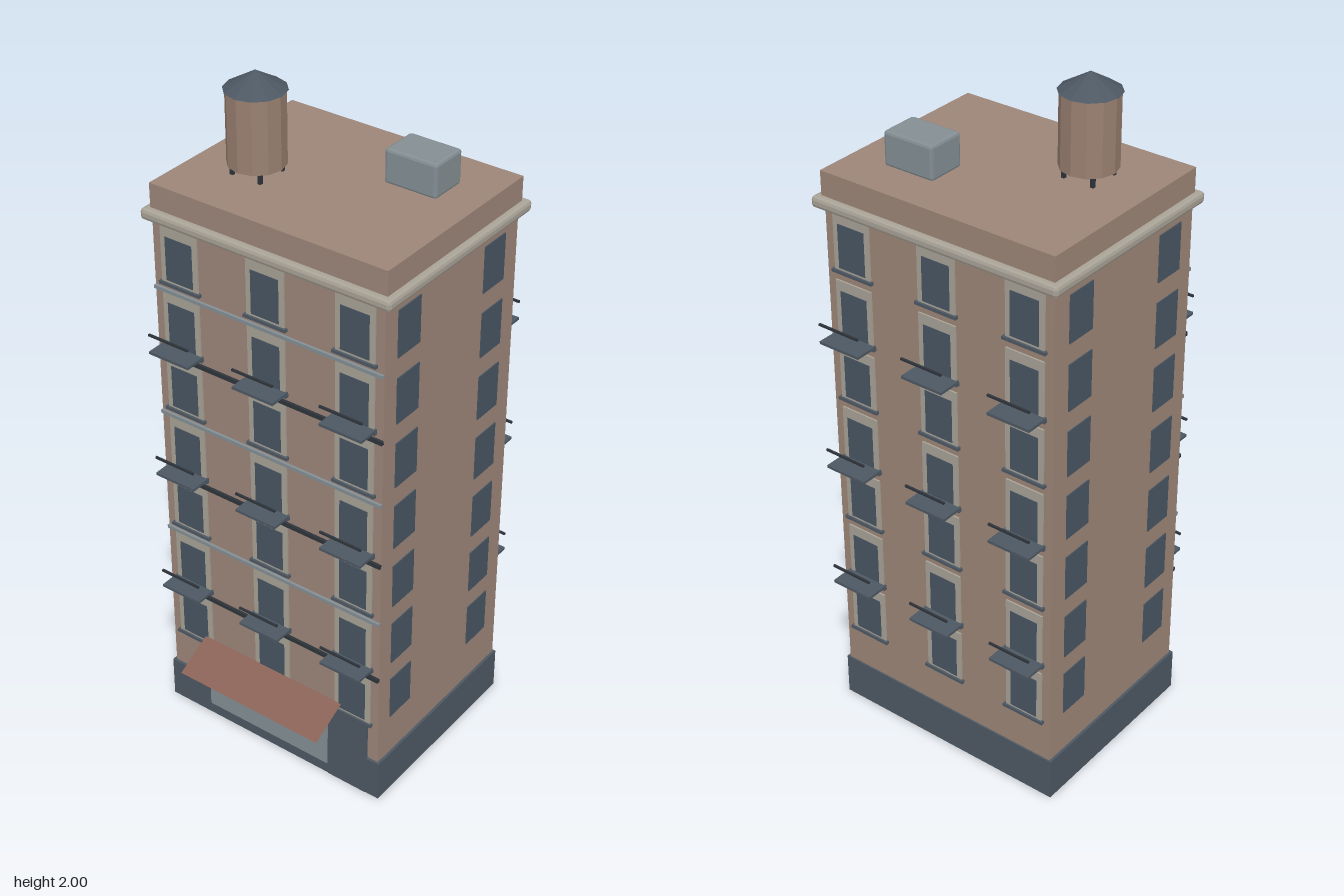
import * as THREE from 'three';
import { RoundedBoxGeometry } from 'three/addons/geometries/RoundedBoxGeometry.js';

const paint = (name, color, extra = {}) => {
  const m = new THREE.MeshStandardMaterial({ color, ...extra });
  m.name = name;
  return m;
};

export function createModel() {
  const brick = paint('brick', 0x9c8578);
  const slate = paint('slate', 0x4d5863);
  const glass = paint('window glass', 0x485562);
  const trim = paint('stone trim', 0xa8a296);
  const steel = paint('steel grey', 0x838e93);
  const iron = paint('dark iron', 0x2e343b);
  const canvas = paint('awning canvas', 0x8a6157, { side: THREE.DoubleSide });
  const wood = paint('tank wood', 0x9a8071);

  const model = new THREE.Group();
  model.name = 'apartmentBuilding';
  const FRONT = 0.267, BACK = -0.32, MID = (FRONT + BACK) / 2, HALF = 0.365;

  const add = (parent, name, geometry, material, x, y, z) => {
    const mesh = new THREE.Mesh(geometry, material);
    mesh.name = name;
    mesh.position.set(x, y, z);
    parent.add(mesh);
    return mesh;
  };
  // Box given by its centre and size
  const box = (parent, name, material, x, y, z, w, h, d) =>
    add(parent, name, new THREE.BoxGeometry(w, h, d), material, x, y, z);
  // Box with chamfered edges and flat faces
  const chamferBox = (name, material, x, y, z, w, h, d, r) => {
    const geometry = new RoundedBoxGeometry(w, h, d, 1, r);
    geometry.computeVertexNormals();
    return add(model, name, geometry, material, x, y, z);
  };

  // Main block, plinth, cornice and parapet
  box(model, 'walls', brick, 0, 0.815, MID, 2 * HALF, 1.63, FRONT - BACK);
  box(model, 'plinth', slate, 0, 0.067, -0.025, 0.746, 0.13, 0.6);
  chamferBox('cornice', trim, 0, 1.63, -0.03, 0.78, 0.032, 0.636, 0.01);
  box(model, 'parapet', brick, 0, 1.677, -0.03, 0.74, 0.078, 0.594);

  // One facade, built facing +z from its wall plane at z = 0
  const facade = (name, reach) => {
    const group = new THREE.Group();
    group.name = name;
    for (let floor = 0; floor < 7; floor++) {
      const sillY = 0.261 + floor * 0.1965;
      for (const x of [-0.278, 0, 0.278]) {
        box(group, 'windowFrame', trim, x, sillY + 0.086, 0.002, 0.12, 0.165, 0.006);
        box(group, 'windowPane', glass, x, sillY + 0.075, 0.003, 0.088, 0.128, 0.007);
        box(group, 'windowSill', slate, x, sillY, 0.004, 0.134, 0.009, 0.014);
        if (floor % 2 === 1) {
          box(group, 'balconySlab', slate, x, sillY + 0.006, reach / 2, 0.132, 0.008, reach);
          box(group, 'balconyRail', iron, x, sillY + 0.06, reach - 0.003, 0.132, 0.006, 0.006);
        }
      }
    }
    model.add(group);
    return group;
  };
  const front = facade('frontFacade', 0.065);
  front.position.z = FRONT;
  const back = facade('backFacade', 0.072);
  back.position.z = BACK;
  back.rotation.y = Math.PI;

  // Floor bands along the front only, alternating grey and iron
  for (let i = 0; i < 6; i++) {
    const dark = i % 2 === 0;
    box(front, 'floorBand', dark ? iron : steel, 0, 0.435 + i * 0.1965, 0.003, 2 * HALF, dark ? 0.012 : 0.01, 0.01);
  }

  // Plain side windows
  for (const side of [-1, 1]) {
    for (let floor = 0; floor < 7; floor++) {
      for (const z of [0.167, -0.213]) {
        box(model, 'sideWindow', glass, side * HALF, 0.334 + floor * 0.1965, z, 0.006, 0.137, 0.095);
      }
    }
  }

  // Shop front: window, door and sloping awning
  box(model, 'shopWindow', steel, -0.016, 0.14, 0.273, 0.424, 0.2, 0.012);
  box(model, 'shopDoor', slate, 0.265, 0.131, 0.27, 0.13, 0.258, 0.013);
  const drop = 0.06, depth = 0.115;
  const awning = add(model, 'awning', new THREE.PlaneGeometry(0.484, Math.hypot(drop, depth)),
    canvas, 0, 0.257, 0.273 + depth / 2);
  awning.rotation.x = -Math.atan2(depth, drop);

  // Rooftop machine housing
  chamferBox('roofUnit', steel, 0.183, 1.762, -0.147, 0.158, 0.098, 0.115, 0.008);

  // Water tank on four legs
  const tank = new THREE.Group();
  tank.name = 'waterTank';
  tank.position.set(-0.185, 0, 0.06);
  model.add(tank);
  const faceted = (geometry) => {
    const flat = geometry.toNonIndexed();
    flat.computeVertexNormals();
    return flat;
  };
  add(tank, 'tankDrum', faceted(new THREE.CylinderGeometry(0.079, 0.079, 0.205, 12)), wood, 0, 1.848, 0);
  add(tank, 'tankRoof', faceted(new THREE.ConeGeometry(0.084, 0.05, 12)), slate, 0, 1.975, 0);
  for (const x of [-0.045, 0.045]) {
    for (const z of [-0.045, 0.045]) {
      box(tank, 'tankLeg', iron, x, 1.73, z, 0.01, 0.036, 0.01);
    }
  }
  return model;
}
